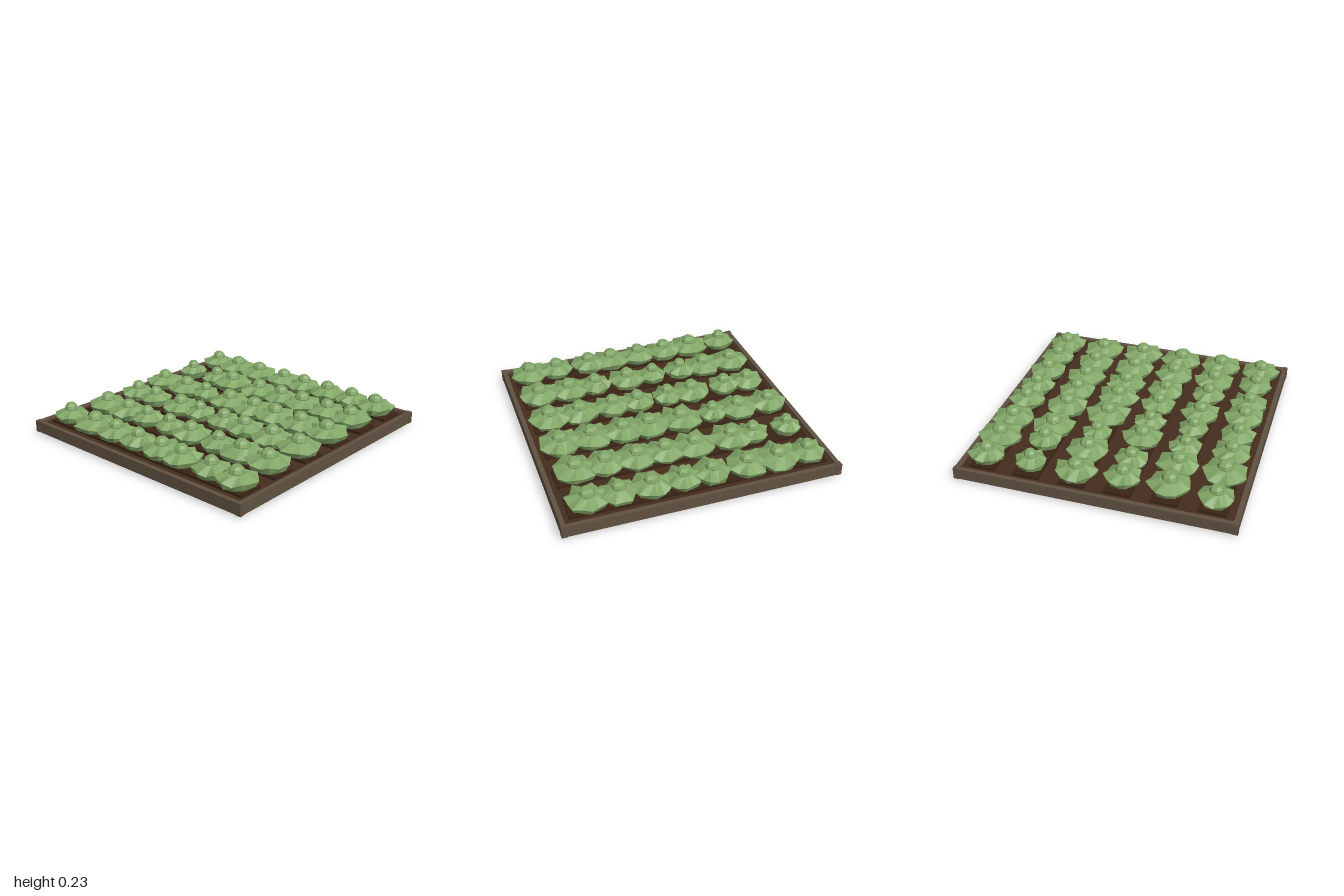
import * as THREE from 'three';

const soilMat = new THREE.MeshStandardMaterial({ name: 'soil', color: 0x452d1d });
const ridgeMat = new THREE.MeshStandardMaterial({ name: 'darkSoil', color: 0x3a2416 });
const woodMat = new THREE.MeshStandardMaterial({ name: 'wood', color: 0x605140 });
const leafMat = new THREE.MeshStandardMaterial({ name: 'leafGreen', color: 0x82a667, flatShading: true });

let seed = 11;
const rnd = () => (seed = (seed * 16807) % 2147483647) / 2147483647;

function box(name, mat, w, h, d, x, y, z) {
  const m = new THREE.Mesh(new THREE.BoxGeometry(w, h, d), mat);
  m.name = name;
  m.position.set(x, y, z);
  return m;
}

// Closed faceted solid from stacked rings; ring(i, j) gives [radius, y] of point j
function loft(rings, sides, ring, twist) {
  const pos = [], idx = [];
  for (let i = 0; i < rings; i++) {
    for (let j = 0; j < sides; j++) {
      const [r, y] = ring(i, j);
      const a = twist + (j / sides) * Math.PI * 2;
      pos.push(r * Math.cos(a), y, r * Math.sin(a));
    }
  }
  const top = rings * sides, bottom = top + 1;
  pos.push(0, ring(rings - 1, 0)[1], 0, 0, ring(0, 0)[1], 0);
  for (let j = 0; j < sides; j++) {
    const k = (j + 1) % sides;
    for (let i = 0; i < rings - 1; i++) {
      const a = i * sides + j, b = i * sides + k;
      idx.push(a, a + sides, b, b, a + sides, b + sides);
    }
    const t = (rings - 1) * sides;
    idx.push(t + j, top, t + k, j, k, bottom);
  }
  const g = new THREE.BufferGeometry();
  g.setAttribute('position', new THREE.Float32BufferAttribute(pos, 3));
  g.setIndex(idx);
  g.computeVertexNormals();
  return g;
}

// Heart of the plant: a seven-sided dome
const HEART = [[0.05, 0.172], [0.061, 0.192], [0.052, 0.216], [0.03, 0.234]];
const heartGeometry = loft(4, 7, (i) => HEART[i], 0.2);

function plant(x, z, r) {
  const g = new THREE.Group();
  g.name = 'plant';
  // Spread of outer leaves with a ragged rim
  const sides = 14;
  const rim = Array.from({ length: sides }, (_, j) => ({
    r: r * (j % 2 ? 0.86 + rnd() * 0.12 : 0.98 + rnd() * 0.12),
    y: 0.15 + (j % 2 ? -0.008 : 0.008) + (rnd() - 0.5) * 0.02,
  }));
  const leaves = new THREE.Mesh(loft(4, sides, (i, j) => [
    [r * 0.72, 0.1],
    [rim[j].r * 0.88, 0.116],
    [rim[j].r, rim[j].y],
    [r * 0.45, 0.188],
  ][i], rnd() * 6), leafMat);
  leaves.name = 'outerLeaves';
  const heart = new THREE.Mesh(heartGeometry, leafMat);
  heart.name = 'heart';
  const s = 0.75 + (r - 0.1) * 4.5;
  heart.scale.set(s, 1, s);
  g.add(leaves, heart);
  g.position.set(x, 0, z);
  return g;
}

// Each row: z, then pairs of x and radius
const ROWS = [
  [-0.82, [-0.81, 0.13, -0.585, 0.16, -0.355, 0.15, -0.095, 0.135, 0.11, 0.13, 0.34, 0.14, 0.565, 0.13, 0.78, 0.145]],
  [-0.495, [-0.805, 0.11, -0.54, 0.12, -0.37, 0.155, -0.09, 0.155, 0.13, 0.14, 0.335, 0.15, 0.565, 0.14, 0.775, 0.155]],
  [-0.165, [-0.81, 0.145, -0.565, 0.15, -0.36, 0.105, -0.11, 0.16, 0.135, 0.155, 0.335, 0.15, 0.57, 0.155, 0.8, 0.155]],
  [0.16, [-0.78, 0.13, -0.585, 0.12, -0.315, 0.145, -0.12, 0.115, 0.12, 0.13, 0.315, 0.135, 0.57, 0.15, 0.8, 0.155]],
  [0.485, [-0.77, 0.15, -0.54, 0.15, -0.34, 0.12, -0.11, 0.11, 0.1, 0.145, 0.36, 0.125, 0.57, 0.155, 0.8, 0.155]],
  [0.81, [-0.81, 0.125, -0.54, 0.155, -0.315, 0.14, -0.09, 0.13, 0.14, 0.145, 0.325, 0.135, 0.59, 0.13, 0.805, 0.145]],
];

export function createModel() {
  const model = new THREE.Group();
  model.name = 'vegetableBed';

  model.add(box('soilBed', soilMat, 1.95, 0.08, 1.95, 0, 0.04, 0));

  // Timber frame and corner posts
  for (const s of [-1, 1]) {
    model.add(box('frameBoardLong', woodMat, 1.95, 0.082, 0.033, 0, 0.057, s * 0.98));
    model.add(box('frameBoardSide', woodMat, 0.033, 0.082, 1.95, s * 0.98, 0.057, 0));
    for (const t of [-1, 1]) {
      model.add(box('cornerPost', woodMat, 0.04, 0.086, 0.04, s * 0.98, 0.058, t * 0.98));
    }
  }

  // Planted rows
  for (const [z, list] of ROWS) {
    model.add(box('soilRidge', ridgeMat, 1.85, 0.03, 0.19, 0, 0.084, z));
    for (let i = 0; i < list.length; i += 2) model.add(plant(list[i], z, list[i + 1]));
  }
  return model;
}
